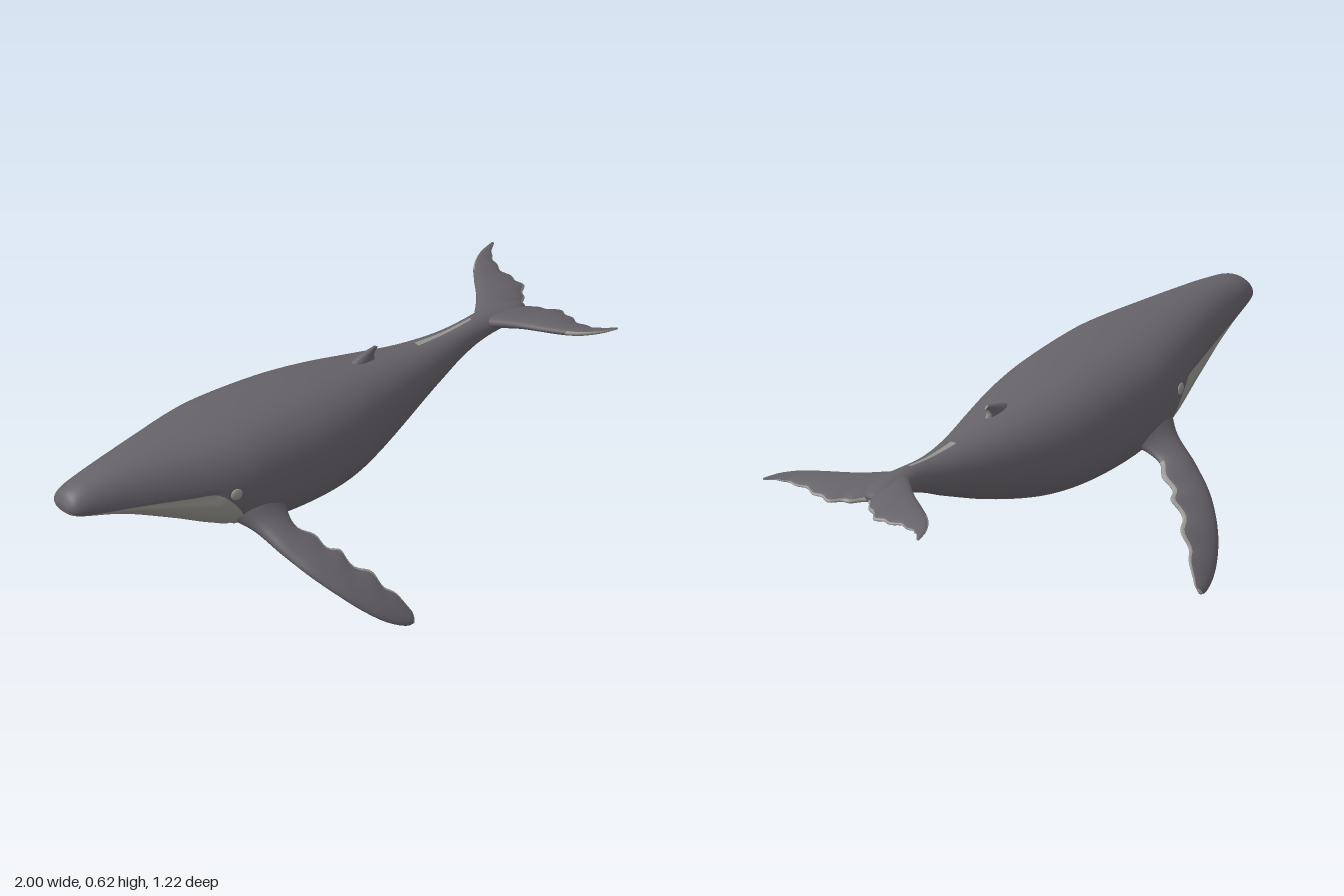
import * as THREE from 'three';

const skin = new THREE.MeshStandardMaterial({ color: 0x656268 });
skin.name = 'slate skin';
const pale = new THREE.MeshStandardMaterial({ color: 0x94938e });
pale.name = 'pale underside';

// Smooth curve through [x, value] pairs
function smooth(pts) {
  const n = pts.length - 1;
  const slope = i => {
    const a = pts[Math.max(i - 1, 0)], b = pts[Math.min(i + 1, n)];
    return (b[1] - a[1]) / (b[0] - a[0]);
  };
  return x => {
    let i = 0;
    while (i < n - 1 && x > pts[i + 1][0]) i++;
    const [x0, y0] = pts[i], [x1, y1] = pts[i + 1], d = x1 - x0;
    const t = THREE.MathUtils.clamp((x - x0) / d, 0, 1), t2 = t * t, t3 = t2 * t;
    return (2 * t3 - 3 * t2 + 1) * y0 + (t3 - 2 * t2 + t) * d * slope(i)
      + (3 * t2 - 2 * t3) * y1 + (t3 - t2) * d * slope(i + 1);
  };
}

// Indexed geometry with one group per colour
function twoTone(positions, dark, light) {
  const g = new THREE.BufferGeometry();
  g.setAttribute('position', new THREE.Float32BufferAttribute(positions, 3));
  g.setIndex([...dark, ...light]);
  g.addGroup(0, dark.length, 0);
  g.addGroup(dark.length, light.length, 1);
  g.computeVertexNormals();
  return g;
}

function addMesh(group, name, geometry) {
  const mesh = new THREE.Mesh(geometry, [skin, pale]);
  mesh.name = name;
  group.add(mesh);
}

// Body profiles along x
const top = smooth([[-1, .542], [-.985, .568], [-.95, .588], [-.9, .6], [-.8, .615], [-.6, .629], [-.35, .635],
  [-.1, .626], [.1, .605], [.25, .584], [.4, .565], [.55, .56], [.7, .572], [.8, .566], [.86, .55]]);
const bottom = smooth([[-1, .518], [-.985, .503], [-.95, .488], [-.8, .445], [-.6, .355], [-.45, .285], [-.3, .245],
  [-.1, .235], [.1, .25], [.3, .31], [.5, .4], [.6, .452], [.7, .49], [.8, .512], [.86, .53]]);
const middle = smooth([[-1, .53], [-.9, .52], [-.6, .47], [-.3, .42], [0, .41], [.3, .45], [.5, .485], [.7, .53], [.86, .54]]);
const width = smooth([[-1, .03], [-.985, .055], [-.95, .07], [-.9, .082], [-.8, .106], [-.6, .16], [-.45, .2], [-.35, .216],
  [-.1, .214], [.05, .195], [.2, .155], [.4, .093], [.55, .055], [.65, .042], [.72, .045], [.8, .05], [.86, .02]]);
const power = smooth([[-1, 2], [-.7, 2.2], [-.3, 2.5], [.1, 2.4], [.5, 2], [.86, 2]]);
// Height of the edge between back and belly colours
const edge = smooth([[-1, .524], [-.95, .505], [-.8, .495], [-.6, .475], [-.5, .46], [-.44, .4], [-.38, .31],
  [-.25, .278], [0, .28], [.15, .288], [.27, .31], [.32, .3], [.86, .3]]);

function bodyPoint(x, phi) {
  const c = -Math.cos(phi), e = 2 / power(x), m = middle(x);
  const h = c > 0 ? top(x) - m : m - bottom(x);
  return [x, m + h * Math.sign(c) * Math.abs(c) ** e, width(x) * Math.abs(Math.sin(phi)) ** e];
}

// Angle, measured from the bottom, at which the skin reaches height y
function angleAt(x, y) {
  const m = middle(x), h = y > m ? top(x) - m : m - bottom(x);
  const v = THREE.MathUtils.clamp((y - m) / h, -1, 1);
  return Math.acos(-Math.sign(v) * Math.abs(v) ** (power(x) / 2));
}

function bodyGeometry() {
  const rows = 120, low = 14, high = 24, half = low + high, ring = half * 2;
  const pos = [], dark = [], light = [], xs = [];
  for (let i = 0; i <= rows; i++) {
    const x = -1 + 1.86 * (i / rows) ** 1.35;
    xs.push(x);
    const split = Math.max(angleAt(x, edge(x)), .15);
    for (let k = 0; k < ring; k++) {
      const j = k <= half ? k : ring - k;
      const phi = j <= low ? split * j / low : split + (Math.PI - split) * (j - low) / high;
      const p = bodyPoint(x, phi);
      // mouth crease and throat grooves
      if (j === low && x < -.5) p[2] *= .965;
      if (j < low - 1 && j % 2 && x > -.9 && x < .1) p[1] += .004;
      pos.push(p[0], p[1], k > half ? -p[2] : p[2]);
    }
  }
  const nose = pos.length / 3;
  pos.push(-1.0, .53, 0, .865, .54, 0);
  for (let k = 0; k < ring; k++) {
    const n = (k + 1) % ring, end = rows * ring;
    for (let i = 0; i < rows; i++) {
      const a = i * ring, b = a + ring, x = xs[i];
      const belly = (k < low || k >= ring - low) && x < .29;
      const ridge = (k === half || k === half - 1) && x > .43 && x < .65;
      (belly || ridge ? light : dark).push(a + k, b + k, b + n, a + k, b + n, a + n);
    }
    dark.push(nose, k, n, nose + 1, end + n, end + k);
  }
  return twoTone(pos, dark, light);
}

// Fin skinned over sections of leading point, trailing point and half thickness
function finGeometry(sections, normal, isPale, ripple = 0) {
  const rows = 48, ring = 32, pos = [], dark = [], light = [];
  const lead = new THREE.CatmullRomCurve3(sections.map(s => new THREE.Vector3(...s[0])));
  const trail = new THREE.CatmullRomCurve3(sections.map(s => new THREE.Vector3(...s[1])));
  const thick = smooth(sections.map((s, i) => [i / (sections.length - 1), s[2]]));
  for (let i = 0; i <= rows; i++) {
    const s = i / rows, l = lead.getPoint(s), t = trail.getPoint(s);
    t.lerp(l, ripple * Math.sin(s * 38) * Math.sin(s * Math.PI));
    for (let j = 0; j < ring; j++) {
      const a = j / ring * Math.PI * 2, c = (1 - Math.cos(a)) / 2;
      const p = l.clone().lerp(t, c).addScaledVector(normal, thick(s) * Math.sin(a) * (1.15 - .45 * c));
      pos.push(p.x, p.y, p.z);
    }
  }
  const tip = lead.getPoint(1).lerp(trail.getPoint(1), .5);
  pos.push(tip.x, tip.y, tip.z);
  for (let j = 0; j < ring; j++) {
    const n = (j + 1) % ring, c = (1 - Math.cos((j + .5) / ring * Math.PI * 2)) / 2;
    for (let i = 0; i < rows; i++) {
      const a = i * ring, b = a + ring;
      (isPale((i + .5) / rows, c) ? light : dark).push(a + j, b + j, b + n, a + j, b + n, a + n);
    }
    light.push(rows * ring + j, pos.length / 3 - 1, rows * ring + n);
  }
  return twoTone(pos, dark, light);
}

// Copy reflected to the other side, with faces turned back outward
function mirrored(geometry) {
  const g = geometry.clone().scale(1, 1, -1), idx = g.index;
  for (let i = 0; i < idx.count; i += 3) {
    const a = idx.getX(i);
    idx.setX(i, idx.getX(i + 1));
    idx.setX(i + 1, a);
  }
  g.computeVertexNormals();
  return g;
}

export function createModel() {
  const whale = new THREE.Group();
  whale.name = 'whale';
  addMesh(whale, 'body', bodyGeometry());

  // Flippers sweep down and back
  const drop = smooth([[.15, .36], [.2, .33], [.25, .3], [.3, .275], [.4, .22], [.5, .145], [.57, .07], [.61, .015]]);
  const at = (x, z) => [x, drop(z), z];
  const flipper = finGeometry([
    [at(-.44, .16), at(-.2, .16), .07], [at(-.398, .225), at(-.265, .225), .036],
    [at(-.365, .33), at(-.245, .29), .026], [at(-.325, .42), at(-.205, .355), .023],
    [at(-.27, .495), at(-.175, .41), .021], [at(-.21, .55), at(-.125, .48), .019],
    [at(-.14, .59), at(-.09, .53), .016], [at(-.08, .607), at(-.052, .58), .011],
    [at(-.058, .607), at(-.05, .598), .004],
  ], new THREE.Vector3(0, .84, .54), (s, c) => s > .96 || (s > .2 && c > .93), .09);
  addMesh(whale, 'leftFlipper', flipper);
  addMesh(whale, 'rightFlipper', mirrored(flipper));

  // Tail flukes
  const fluke = finGeometry([
    [[.66, .545, 0], [.86, .53, 0], .03], [[.71, .547, .05], [.91, .528, .05], .025],
    [[.765, .548, .11], [.945, .53, .11], .02], [[.82, .549, .19], [.935, .536, .18], .016],
    [[.87, .551, .255], [.945, .543, .245], .012], [[.93, .554, .298], [.965, .55, .283], .008],
    [[.992, .555, .32], [1, .555, .314], .003],
  ], new THREE.Vector3(0, 1, 0), (s, c) => c > .95 || (s > .6 && c < .1), .05);
  addMesh(whale, 'leftFluke', fluke);
  addMesh(whale, 'rightFluke', mirrored(fluke));

  // Small hooked dorsal fin
  addMesh(whale, 'dorsalFin', finGeometry([
    [[.13, .57, 0], [.29, .56, 0], .026], [[.18, .597, 0], [.272, .585, 0], .018],
    [[.22, .612, 0], [.268, .602, 0], .011], [[.265, .624, 0], [.28, .616, 0], .004],
  ], new THREE.Vector3(0, 0, -1), (s, c) => c > .85));

  // Pale eye patches
  for (const side of [1, -1]) {
    const [x, y, z] = bodyPoint(-.45, angleAt(-.45, .455));
    const eye = new THREE.Mesh(new THREE.SphereGeometry(.02, 20, 12), pale);
    eye.name = side > 0 ? 'leftEyePatch' : 'rightEyePatch';
    eye.scale.z = .3;
    eye.position.set(x, y, side * z);
    eye.rotation.y = -side * .25;
    whale.add(eye);
  }
  return whale;
}
